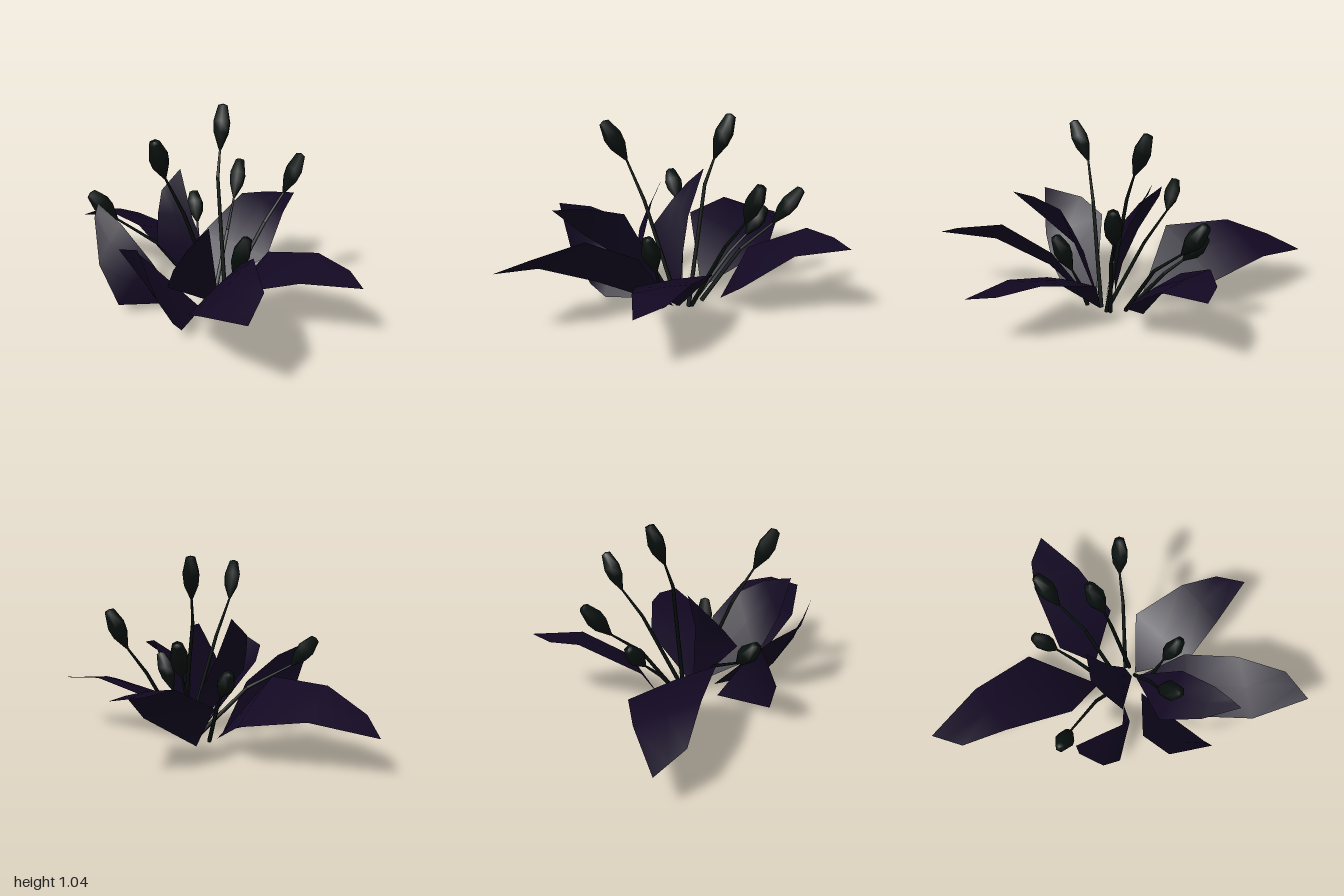
import * as THREE from 'three';

const leafMaterial = new THREE.MeshStandardMaterial({ color: 0x120822, side: THREE.DoubleSide });
const stemMaterial = new THREE.MeshStandardMaterial({ color: 0x07100d });
const v = (p) => new THREE.Vector3(...p);

// Leaf strip: base point, then left edge (3 points) and right edge (2 points), ending in a tip.
function makeLeaf({ base, left, right, tip }) {
  const rights = [...right, tip];
  const positions = [...base];
  for (let i = 0; i < 3; i++) {
    const l = v(left[i]), r = v(rights[i]);
    const mid = l.clone().add(r).multiplyScalar(0.5);
    if (i < 2) mid.y += 0.01; // raised midrib
    for (const p of [l, mid, r]) positions.push(p.x, p.y, p.z);
  }
  const index = [0, 2, 1, 0, 3, 2];
  for (let row = 0; row < 2; row++) {
    for (let col = 0; col < 2; col++) {
      const a = 1 + row * 3 + col, b = a + 1, c = a + 3, d = a + 4;
      index.push(a, b, c, b, d, c);
    }
  }
  const geometry = new THREE.BufferGeometry();
  geometry.setAttribute('position', new THREE.Float32BufferAttribute(positions, 3));
  geometry.setIndex(index);
  geometry.computeVertexNormals();
  return new THREE.Mesh(geometry, leafMaterial);
}

// Slim segment between two points
function makeSegment(a, b, r0, r1) {
  const dir = b.clone().sub(a);
  const mesh = new THREE.Mesh(new THREE.CylinderGeometry(r1, r0, dir.length(), 5), stemMaterial);
  mesh.position.copy(a).add(b).multiplyScalar(0.5);
  mesh.quaternion.setFromUnitVectors(new THREE.Vector3(0, 1, 0), dir.normalize());
  return mesh;
}

// Bent stem carrying a closed bud
function makeStem({ root, bend, neck, tip }) {
  const group = new THREE.Group();
  const b = v(bend), c = v(neck);
  const lower = makeSegment(v(root), b, 0.013, 0.010);
  lower.name = 'lowerStem';
  const upper = makeSegment(b, c, 0.010, 0.006);
  upper.name = 'upperStem';

  const dir = v(tip).sub(c);
  const len = dir.length();
  const profile = [[0, 0], [0.008, 0], [0.044, 0.36], [0.05, 0.6], [0.028, 0.96], [0, 1]]
    .map(([r, h]) => new THREE.Vector2(r, h * len));
  const bud = new THREE.Mesh(new THREE.LatheGeometry(profile, 6), stemMaterial);
  bud.name = 'bud';
  bud.position.copy(c);
  bud.quaternion.setFromUnitVectors(new THREE.Vector3(0, 1, 0), dir.normalize());
  group.add(lower, upper, bud);
  return group;
}

const leaves = {
  backLeaf: {
    base: [-0.04, 0.02, -0.02], tip: [0.15, 0.19, -1],
    left: [[-0.19, 0.37, -0.28], [-0.09, 0.37, -0.64], [-0.01, 0.26, -0.88]],
    right: [[0.27, 0.19, -0.3], [0.24, 0.25, -0.66]],
  },
  frontLeaf: {
    base: [-0.09, 0, 0.21], tip: [-0.03, 0.275, 1],
    left: [[0.14, 0.26, 0.35], [0.13, 0.33, 0.66], [0.08, 0.3, 0.87]],
    right: [[-0.24, 0.19, 0.46], [-0.15, 0.27, 0.72]],
  },
  leftLeaf: {
    base: [0.09, 0, 0.04], tip: [0.8, 0.385, 0.11],
    left: [[0.2, 0.25, -0.13], [0.53, 0.41, -0.09], [0.69, 0.395, -0.02]],
    right: [[0.27, 0.17, 0.26], [0.53, 0.35, 0.2]],
  },
  frontRightLeaf: {
    base: [-0.12, 0, 0.22], tip: [-0.81, 0.345, 0.86],
    left: [[-0.23, 0.33, 0.43], [-0.43, 0.47, 0.63], [-0.63, 0.42, 0.82]],
    right: [[-0.52, 0.13, 0.32], [-0.73, 0.27, 0.56]],
  },
  upperRightLeaf: {
    base: [-0.1, 0, 0.2], tip: [-0.69, 0.555, 0.455],
    left: [[-0.35, 0.525, 0.315], [-0.52, 0.565, 0.4], [-0.62, 0.56, 0.435]],
    right: [[-0.45, 0.2, 0.13], [-0.6, 0.38, 0.29]],
  },
  rightLeaf: {
    base: [-0.22, 0.01, 0.17], tip: [-0.77, 0.52, 0.22],
    left: [[-0.5, 0.02, 0.26], [-0.58, 0.09, 0.27], [-0.69, 0.26, 0.26]],
    right: [[-0.51, 0.38, -0.03], [-0.68, 0.45, 0.02]],
  },
  backRightLeaf: {
    base: [-0.23, 0.01, 0.04], tip: [-0.4, 0.53, -0.38],
    left: [[-0.5, 0.04, -0.16], [-0.51, 0.24, -0.28], [-0.43, 0.46, -0.38]],
    right: [[-0.385, 0.28, -0.03], [-0.4, 0.45, -0.22]],
  },
  uprightLeaf: {
    base: [-0.1, 0, 0.18], tip: [-0.05, 0.69, -0.1],
    left: [[-0.325, 0.36, -0.04], [-0.24, 0.49, -0.1], [-0.16, 0.59, -0.14]],
    right: [[-0.1, 0.26, 0.12], [-0.1, 0.45, 0.02]],
  },
};

const stems = [
  { root: [-0.04, 0, 0.2], bend: [0.02, 0.66, 0.1], neck: [0.065, 0.8, 0.08], tip: [0.145, 1.03, 0.04] },
  { root: [-0.03, 0, 0.18], bend: [0.19, 0.4, 0.29], neck: [0.305, 0.55, 0.335], tip: [0.395, 0.76, 0.385] },
  { root: [0, 0, 0.1], bend: [0.2, 0.3, 0.04], neck: [0.36, 0.44, -0.03], tip: [0.5, 0.63, -0.085] },
  { root: [-0.04, 0, 0.03], bend: [0.1, 0.22, -0.09], neck: [0.18, 0.315, -0.16], tip: [0.265, 0.46, -0.25] },
  { root: [-0.17, 0, 0.25], bend: [-0.17, 0.15, 0.3], neck: [-0.17, 0.235, 0.34], tip: [-0.18, 0.45, 0.43] },
  { root: [-0.1, 0, 0.2], bend: [-0.31, 0.55, 0.13], neck: [-0.42, 0.76, 0.1], tip: [-0.535, 0.97, 0.13] },
  { root: [-0.11, 0, 0.14], bend: [-0.19, 0.29, -0.13], neck: [-0.29, 0.42, -0.35], tip: [-0.375, 0.57, -0.46] },
];

export function createModel() {
  const model = new THREE.Group();
  model.name = 'buddingPlant';
  for (const [name, spec] of Object.entries(leaves)) {
    const leaf = makeLeaf(spec);
    leaf.name = name;
    model.add(leaf);
  }
  stems.forEach((spec, i) => {
    const stem = makeStem(spec);
    stem.name = `budStem${i + 1}`;
    model.add(stem);
  });
  return model;
}
